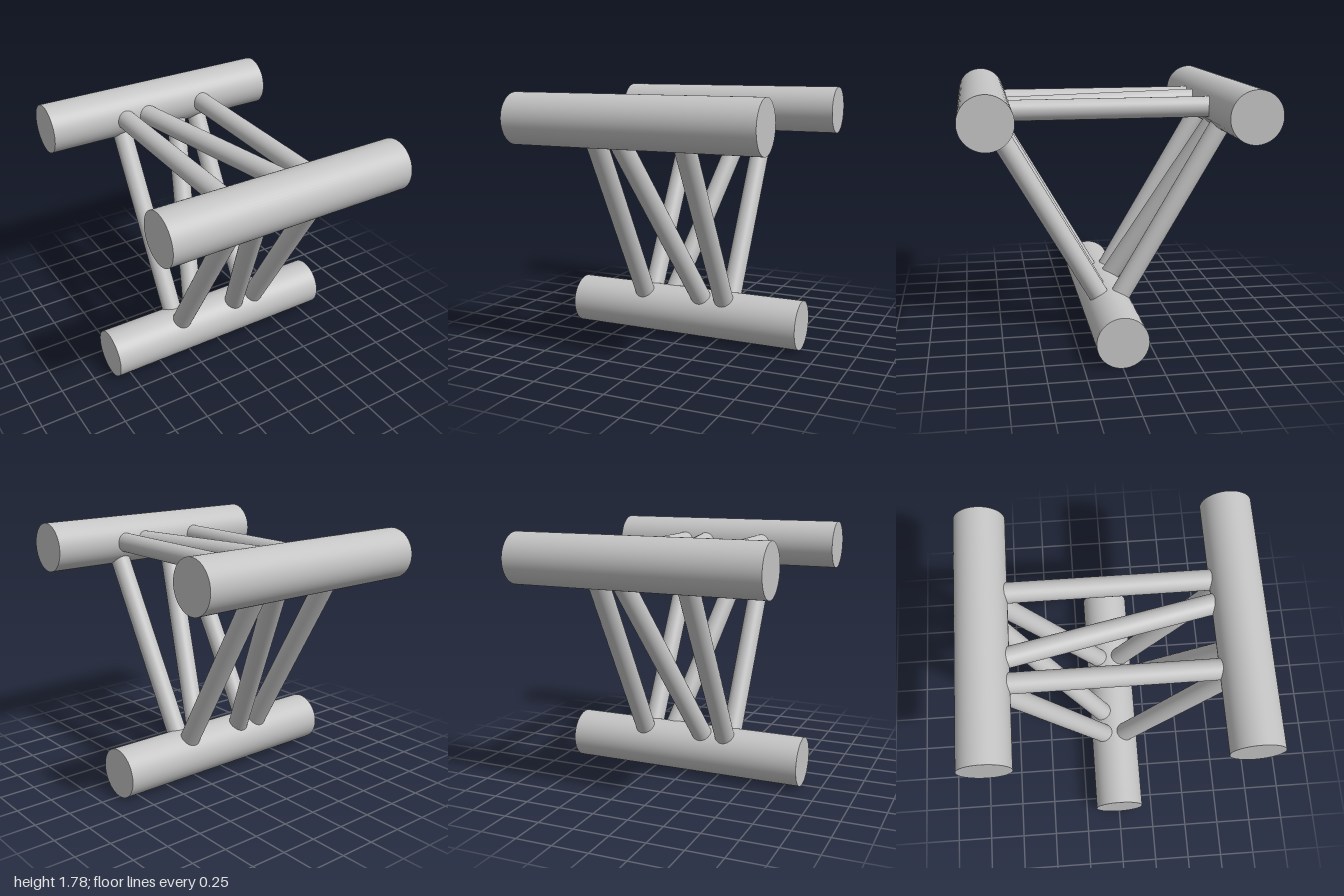
import * as THREE from 'three';

const TUBE_R = 0.172, TUBE_LENGTH = 1.72, BRACE_R = 0.069;

// Cylinder running from point a to point b
function rod(name, a, b, radius, segments, material) {
  const dir = b.clone().sub(a);
  const mesh = new THREE.Mesh(new THREE.CylinderGeometry(radius, radius, dir.length(), segments), material);
  mesh.position.copy(a).add(b).multiplyScalar(0.5);
  mesh.quaternion.setFromUnitVectors(new THREE.Vector3(0, 1, 0), dir.normalize());
  mesh.name = name;
  return mesh;
}

export function createModel() {
  const model = new THREE.Group();
  model.name = 'triangularTruss';
  const steel = new THREE.MeshStandardMaterial({ color: 0xc4c4c4 });
  steel.name = 'light grey steel';

  // Three main tubes at the corners of an equilateral triangle
  const corners = [
    { name: 'bottom', y: TUBE_R, z: 0 },
    { name: 'front', y: 1.606, z: 0.828 },
    { name: 'back', y: 1.606, z: -0.828 },
  ];
  const at = (c, x) => new THREE.Vector3(x, c.y, c.z);
  for (const c of corners) {
    model.add(rod(c.name + 'Tube', at(c, -TUBE_LENGTH / 2), at(c, TUBE_LENGTH / 2), TUBE_R, 64, steel));
  }

  // Each side has two straight braces and one diagonal, their ends sunk into the tubes
  corners.forEach((c, i) => {
    const next = corners[(i + 1) % 3];
    const side = c.name + 'To' + next.name[0].toUpperCase() + next.name.slice(1);
    const addBrace = (kind, x0, x1) => {
      const a = at(c, x0), b = at(next, x1);
      const sink = 0.13 / 1.656;
      model.add(rod(side + kind, a.clone().lerp(b, sink), b.clone().lerp(a, sink), BRACE_R, 40, steel));
    };
    addBrace('RightBrace', -0.31, -0.31);
    addBrace('LeftBrace', 0.31, 0.31);
    addBrace('DiagonalBrace', 0.17, -0.17);
  });
  return model;
}
